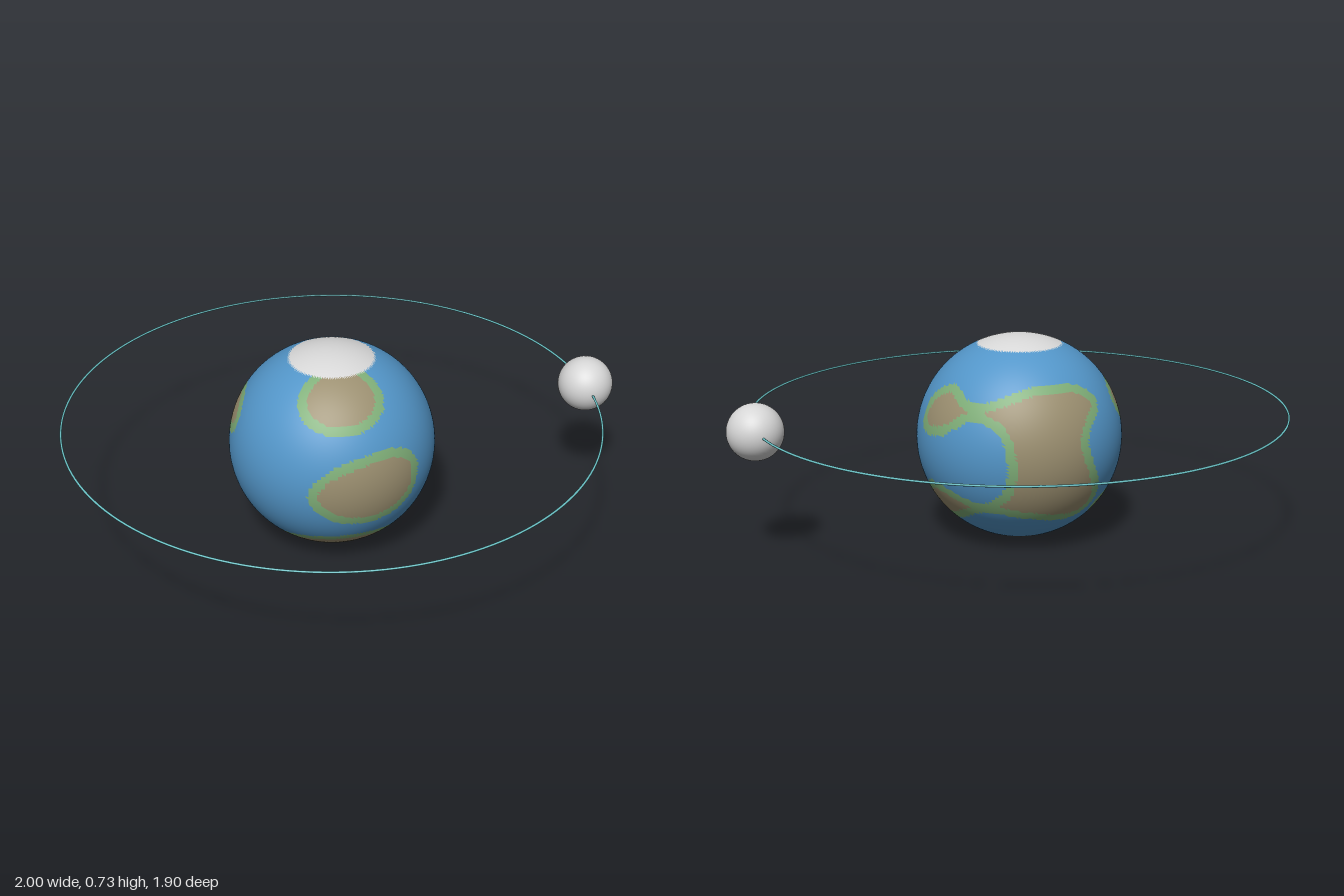
import * as THREE from 'three';

const mat = (name, color) => {
  const m = new THREE.MeshStandardMaterial({ color });
  m.name = name;
  return m;
};

const COAST_WIDTH = 5.3;
const ICE_HEIGHT = 0.912;

// Coastlines in degrees: x is longitude (0 faces the front), y is latitude
const smoothCoast = (points) =>
  new THREE.CatmullRomCurve3(points.map(([lon, lat]) => new THREE.Vector3(lon, lat, 0)), true)
    .getPoints(points.length * 4);
const ovalCoast = (lon, lat, halfWidth, halfHeight, tilt) =>
  new THREE.EllipseCurve(lon, lat, halfWidth, halfHeight, 0, Math.PI * 2, false, tilt).getPoints(32);

const COASTS = [
  // linked eastern, southern and rear continents
  smoothCoast([
    [91, 27], [92, 10], [112, 9], [132, 20], [149, 14], [154, -4], [151, -18], [138, -27], [98, -19],
    [68, -37], [52, -44], [20, -36], [-20, -36], [-80, -44], [-97, -29], [-128, -27], [-140, -36],
    [-125, -50], [-60, -62], [-40, -74], [40, -74], [62, -54], [107, -46], [139, -34], [166, -38],
    [199, -42], [213, -36], [215, -24], [201, 8], [216, 28], [205, 39], [170, 41], [131, 30], [110, 39],
  ]),
  // front continent
  smoothCoast([
    [-28, -3], [-20, 11], [2, 20], [27, 20], [39, 9], [37, -9], [26, -19], [10, -23], [-14, -19],
  ]),
  ovalCoast(-5, 57, 40, 25, 0.05), // northern continent, running under the ice
  ovalCoast(-106, 22, 19, 13, -0.15), // western island
];

// Signed distance in degrees to one coastline, negative inside
function coastDistance(lon, lat, line) {
  const k = Math.cos(THREE.MathUtils.degToRad(lat));
  let best = Infinity;
  let inside = false;
  for (let i = 0; i < line.length - 1; i++) {
    const a = line[i], b = line[i + 1];
    if ((a.y > lat) !== (b.y > lat) && lon < a.x + ((lat - a.y) / (b.y - a.y)) * (b.x - a.x)) inside = !inside;
    const dx = (b.x - a.x) * k, dy = b.y - a.y;
    const px = (lon - a.x) * k, py = lat - a.y;
    const t = THREE.MathUtils.clamp((px * dx + py * dy) / (dx * dx + dy * dy || 1), 0, 1);
    best = Math.min(best, Math.hypot(px - t * dx, py - t * dy));
  }
  return inside ? -best : best;
}

// 0 ocean, 1 coast, 2 inland, 3 ice
function surfaceKind(dir) {
  if (Math.abs(dir.y) > ICE_HEIGHT) return 3;
  const lat = THREE.MathUtils.radToDeg(Math.asin(dir.y));
  const lon = THREE.MathUtils.radToDeg(Math.atan2(dir.x, dir.z));
  let d = Infinity;
  for (const line of COASTS) {
    for (const turn of [0, 360]) d = Math.min(d, coastDistance(lon + turn, lat, line));
  }
  return d > 0 ? 0 : d > -COAST_WIDTH ? 1 : 2;
}

// Smooth sphere whose faces are sorted into one group per surface kind
function planetGeometry(radius) {
  const geo = new THREE.SphereGeometry(radius, 160, 100);
  const pos = geo.attributes.position;
  const idx = geo.index.array;
  const buckets = [[], [], [], []];
  const c = new THREE.Vector3(), v = new THREE.Vector3();
  for (let i = 0; i < idx.length; i += 3) {
    c.set(0, 0, 0);
    for (let j = 0; j < 3; j++) c.add(v.fromBufferAttribute(pos, idx[i + j]));
    buckets[surfaceKind(c.normalize())].push(idx[i], idx[i + 1], idx[i + 2]);
  }
  geo.setIndex(buckets.flat());
  geo.clearGroups();
  let start = 0;
  buckets.forEach((b, kind) => {
    geo.addGroup(start, b.length, kind);
    start += b.length;
  });
  return geo;
}

export function createModel() {
  const group = new THREE.Group();
  const add = (name, geo, material, x, y) => {
    const mesh = new THREE.Mesh(geo, material);
    mesh.name = name;
    mesh.position.set(x, y, 0);
    group.add(mesh);
    return mesh;
  };

  // Planet with oceans, coasts, land and polar ice
  add('planet', planetGeometry(0.365), [
    mat('ocean blue', 0x5396c9),
    mat('coast green', 0x7fae78),
    mat('land brown', 0x9b8f70),
    mat('ice white', 0xd8d8d8),
  ], -0.049, 0.365);

  // Thin orbit ring
  const ring = add('orbitRing', new THREE.TorusGeometry(0.947, 0.004, 8, 160), mat('orbit teal', 0x6cc4c8), -0.049, 0.459);
  ring.rotation.x = Math.PI / 2;

  // Moon on the ring
  add('moon', new THREE.SphereGeometry(0.099, 48, 32), mat('moon grey', 0xd6d6d6), 0.9, 0.459);

  return group;
}
